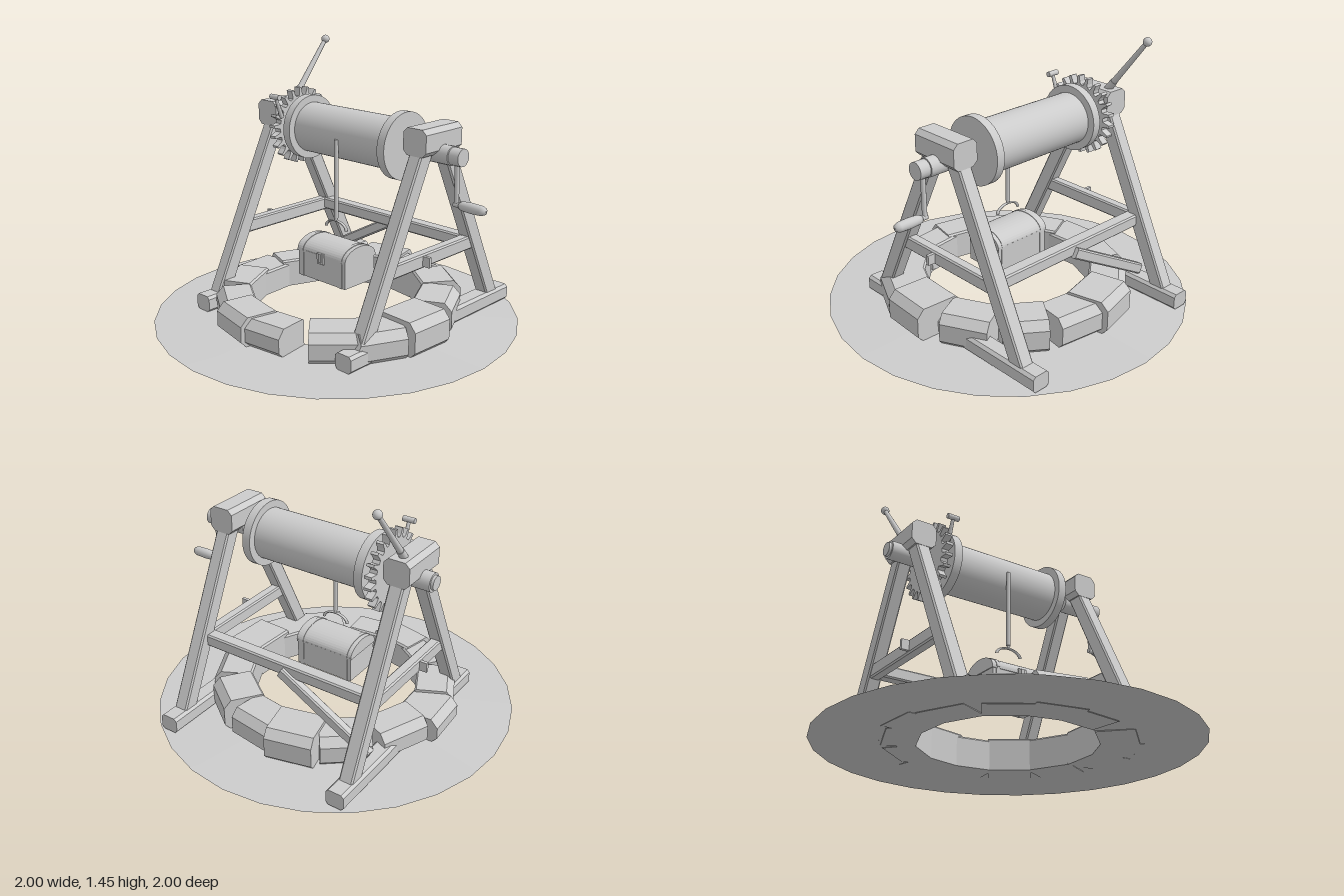
import * as THREE from 'three';

const grey = new THREE.MeshStandardMaterial({ color: 0xcccccc });
grey.name = 'plain grey';
const greySheet = grey.clone();
greySheet.name = 'plain grey sheet';
greySheet.side = THREE.DoubleSide;

const AXLE_Y = 0.985, AXLE_Z = -0.14, SIDE_X = 0.537;

export function createModel() {
  const model = new THREE.Group();
  model.name = 'winch';

  const add = (name, geometry, x = 0, y = 0, z = 0, material = grey) => {
    const mesh = new THREE.Mesh(geometry, material);
    mesh.name = name;
    mesh.position.set(x, y, z);
    model.add(mesh);
    return mesh;
  };
  const box = (name, w, h, d, x, y, z) => add(name, new THREE.BoxGeometry(w, h, d), x, y, z);

  // Timber with chamfered long edges, running from a to b
  const beam = (name, a, b, w, h, c = 0.008) => {
    const from = new THREE.Vector3(...a), to = new THREE.Vector3(...b);
    const X = w / 2, Y = h / 2;
    const section = new THREE.Shape([
      [-X + c, -Y], [X - c, -Y], [X, -Y + c], [X, Y - c],
      [X - c, Y], [-X + c, Y], [-X, Y - c], [-X, -Y + c],
    ].map(p => new THREE.Vector2(...p)));
    const geometry = new THREE.ExtrudeGeometry(section, { depth: from.distanceTo(to), bevelEnabled: false });
    const mesh = add(name, geometry, ...a);
    mesh.lookAt(to);
    return mesh;
  };

  // Round bar from a to b
  const rod = (name, a, b, r0, r1 = r0, sides = 16) => {
    const from = new THREE.Vector3(...a), to = new THREE.Vector3(...b);
    const dir = to.clone().sub(from);
    const mesh = add(name, new THREE.CylinderGeometry(r1, r0, dir.length(), sides));
    mesh.position.copy(from).add(to).multiplyScalar(0.5);
    mesh.quaternion.setFromUnitVectors(new THREE.Vector3(0, 1, 0), dir.normalize());
    return mesh;
  };
  // Round part on the axle line
  const onAxle = (name, x0, x1, r, sides = 32) =>
    rod(name, [x0, AXLE_Y, AXLE_Z], [x1, AXLE_Y, AXLE_Z], r, r, sides);

  // Ground ring
  add('ground', new THREE.LatheGeometry(
    [new THREE.Vector2(1, 0), new THREE.Vector2(0.47, 0.011)], 28), 0, 0, 0, greySheet);

  // Rim stones: angle from the front, outer radius, height, length
  const stones = [
    [7, 0.655, 0.155, 0.275], [43, 0.68, 0.165, 0.25], [64, 0.7, 0.165, 0.25], [87, 0.71, 0.19, 0.26],
    [117, 0.67, 0.18, 0.26], [144.6, 0.68, 0.185, 0.24], [172, 0.67, 0.175, 0.27], [193.6, 0.7, 0.19, 0.26],
    [219, 0.66, 0.17, 0.27], [248, 0.66, 0.165, 0.28], [273, 0.7, 0.145, 0.25], [296, 0.67, 0.16, 0.26],
    [326.6, 0.65, 0.155, 0.27], [348, 0.67, 0.165, 0.26],
  ];
  for (const [angle, r, h, length] of stones) {
    const inner = 0.455;
    const profile = new THREE.Shape([
      [inner, 0.005], [r - 0.03, 0.005], [r, 0.035], [r, h - 0.045], [r - 0.04, h], [inner + 0.01, h], [inner, h - 0.01],
    ].map(p => new THREE.Vector2(...p)));
    const geometry = new THREE.ExtrudeGeometry(profile, { depth: length, bevelEnabled: false });
    geometry.translate(0, 0, -length / 2);
    add('rimStone', geometry).rotation.y = THREE.MathUtils.degToRad(angle - 90);
  }

  // Two side frames
  for (const s of [-1, 1]) {
    const x = s * SIDE_X;
    beam('foot', [x, 0.052, -0.8], [x, 0.052, 0.51], 0.105, 0.09, 0.015);
    for (const k of [-1, 1]) {
      beam('leg', [x, 0.07, AXLE_Z + k * 0.533], [x, 1.0, AXLE_Z + k * 0.087], 0.08, 0.087);
    }
    beam('bearingBlock', [x, 1.055, -0.283], [x, 1.055, 0.005], 0.145, 0.14, 0.025);
    beam('sideRail', [x, 0.43, -0.5], [x, 0.43, 0.2], 0.06, 0.075);
    box('railPeg', 0.1, 0.055, 0.018, s * 0.56, 0.432, -0.055);
    onAxle('axleBoss', s * 0.47, s * 0.665, 0.05, 20);
  }
  onAxle('axleCap', -0.68, -0.66, 0.038, 20);

  // Rear rail and diagonal brace
  beam('rearRail', [-0.53, 0.435, -0.46], [0.53, 0.435, -0.46], 0.075, 0.068);
  beam('diagonalBrace', [-0.54, 0.125, -0.495], [0, 0.425, -0.495], 0.05, 0.06);

  // Drum
  onAxle('axle', -0.6, 0.68, 0.026, 20);
  onAxle('drum', -0.325, 0.325, 0.14, 48);
  for (const s of [-1, 1]) onAxle('drumFlange', s * 0.32, s * 0.368, 0.18, 40);

  // Ratchet wheel
  const teeth = 22, outline = [];
  for (let i = 0; i < teeth; i++) {
    for (const [t, r] of [[0, 0.17], [0.38, 0.17], [0.52, 0.185], [0.6, 0.216], [0.84, 0.216], [0.92, 0.185]]) {
      const a = (i + t) / teeth * Math.PI * 2;
      outline.push(new THREE.Vector2(Math.cos(a) * r, Math.sin(a) * r));
    }
  }
  const wheel = new THREE.ExtrudeGeometry(new THREE.Shape(outline), { depth: 0.042, bevelEnabled: false });
  add('ratchetWheel', wheel, -0.443, AXLE_Y, AXLE_Z).rotation.y = Math.PI / 2;

  // Pawl
  rod('pawlPin', [-0.435, 1.17, 0.065], [-0.367, 1.17, 0.065], 0.015, 0.015, 12);
  rod('pawlArm', [-0.4, 1.17, 0.065], [-0.4, 1.05, 0.02], 0.009, 0.013, 10);

  // Brake lever
  rod('leverSocket', [-0.54, 1.1, -0.205], [-0.54, 1.17, -0.26], 0.022, 0.02);
  rod('leverRod', [-0.54, 1.13, -0.228], [-0.54, 1.43, -0.468], 0.018, 0.012);
  add('leverKnob', new THREE.SphereGeometry(0.024, 16, 12), -0.54, 1.43, -0.468);

  // Crank
  onAxle('crankHub', 0.668, 0.728, 0.046, 20);
  rod('crankArm', [0.688, 0.985, -0.145], [0.688, 0.735, -0.15], 0.013, 0.013, 12);
  rod('crankPin', [0.675, 0.737, -0.15], [0.74, 0.737, -0.15], 0.014);
  const grip = new THREE.LatheGeometry([[0, 0], [0.02, 0], [0.025, 0.02], [0.028, 0.07], [0.026, 0.13], [0.018, 0.15], [0, 0.155]]
    .map(p => new THREE.Vector2(...p)), 18);
  add('crankGrip', grip, 0.712, 0.737, -0.15).rotation.z = -Math.PI / 2;

  // Rope and hanging bail
  rod('rope', [0, 0.985, 0], [0, 0.55, 0], 0.012, 0.012, 12);
  rod('ropeEnd', [0, 0.56, 0], [0, 0.53, 0], 0.009, 0.009, 10);
  add('bail', new THREE.TorusGeometry(0.075, 0.009, 8, 24, Math.PI), 0, 0.49, 0).scale.y = 0.58;

  // Chest with rounded lid
  box('chestBody', 0.35, 0.15, 0.23, 0, 0.287, 0);
  const lidShape = (w, h) => {
    const shape = new THREE.Shape();
    shape.absellipse(0, 0, w, h, 0, Math.PI, false);
    return shape;
  };
  const lidPart = (name, length, x, w, h) => {
    const geometry = new THREE.ExtrudeGeometry(lidShape(w, h), { depth: length, bevelEnabled: false, curveSegments: 10 });
    geometry.translate(0, 0, -length / 2);
    add(name, geometry, x, 0.36, 0).rotation.y = Math.PI / 2;
  };
  lidPart('chestLid', 0.36, 0, 0.12, 0.07);
  box('lidRim', 0.36, 0.012, 0.24, 0, 0.358, 0);
  for (const s of [-1, 1]) {
    box('chestStrap', 0.02, 0.155, 0.238, s * 0.145, 0.289, 0);
    lidPart('lidStrap', 0.02, s * 0.145, 0.123, 0.073);
  }
  box('clasp', 0.048, 0.06, 0.012, 0, 0.345, 0.121);
  box('claspTongue', 0.02, 0.05, 0.01, 0, 0.35, 0.128);

  return model;
}
